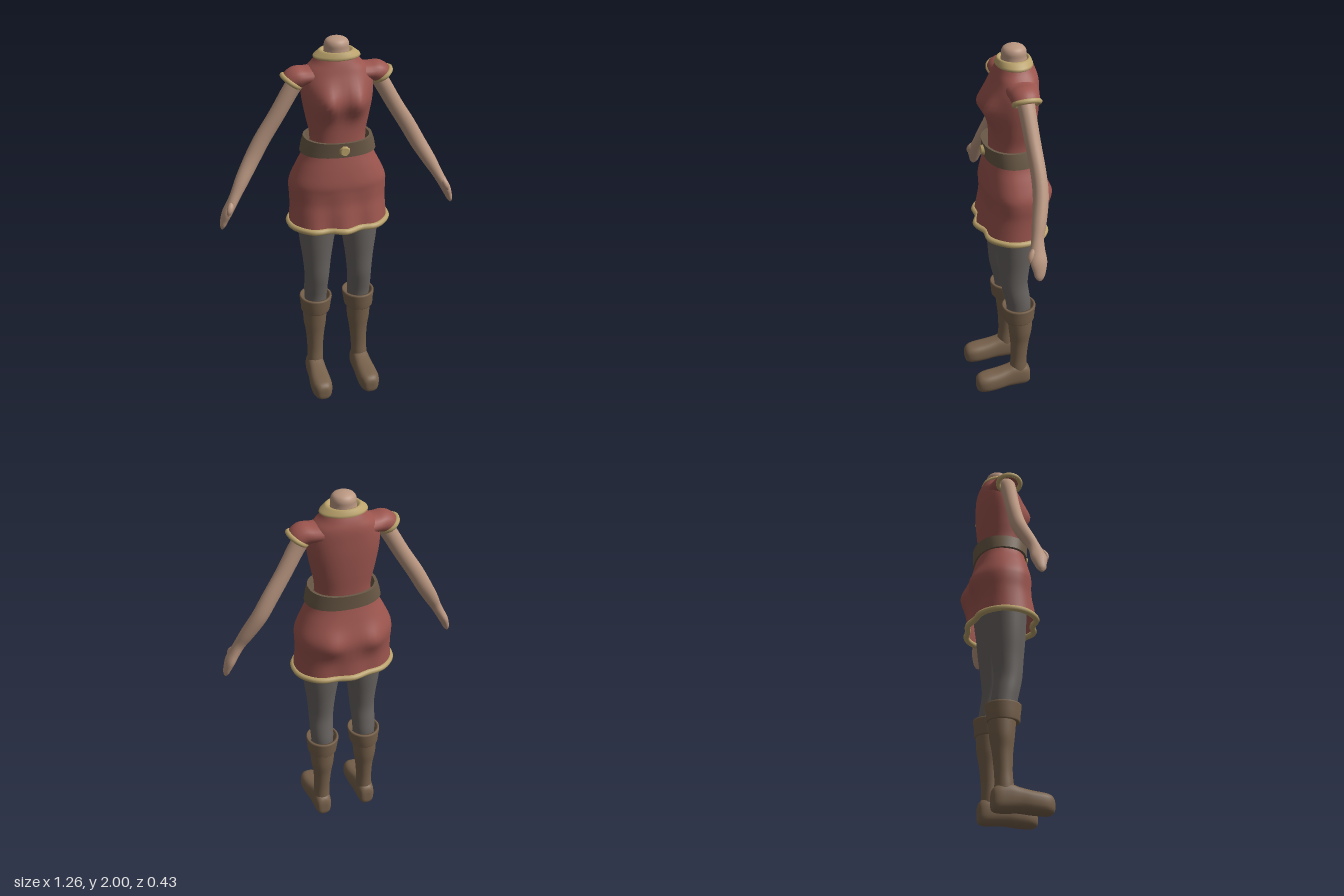
import * as THREE from 'three';

const V = (x, y, z) => new THREE.Vector3(x, y, z);
const mat = (name, color, side = THREE.FrontSide) => {
  const m = new THREE.MeshStandardMaterial({ color, side });
  m.name = name;
  return m;
};

// Catmull-Rom blend between b and c
function blend(a, b, c, d, t) {
  const cubic = 3 * (b - c) + d - a;
  const square = 2 * a - 5 * b + 4 * c - d;
  return b + 0.5 * t * (c - a + t * (square + t * cubic));
}

// Smoothly interpolate a table of section rows, k steps per gap
function smooth(rows, k = 4) {
  const out = [];
  for (let i = 0; i < rows.length - 1; i++) {
    const a = rows[Math.max(i - 1, 0)], b = rows[i], c = rows[i + 1], d = rows[Math.min(i + 2, rows.length - 1)];
    for (let s = 0; s < k; s++) out.push(b.map((p, j) => blend(a[j], p, c[j], d[j], s / k)));
  }
  out.push(rows[rows.length - 1]);
  return out;
}

// Closed ring around a centre with half axes u and v; e < 1 makes it squarer
function ring(c, u, v, n = 32, e = 1) {
  const pw = (t) => Math.sign(t) * Math.abs(t) ** e;
  return Array.from({ length: n }, (_, j) => {
    const a = (j / n) * Math.PI * 2;
    return c.clone().addScaledVector(u, pw(Math.cos(a))).addScaledVector(v, pw(Math.sin(a)));
  });
}

// Skin a list of rings, optionally closing both ends
function skin(rings, caps = false) {
  const n = rings[0].length, pts = rings.flat(), idx = [];
  for (let i = 0; i < rings.length - 1; i++) {
    for (let j = 0; j < n; j++) {
      const a = i * n + j, b = i * n + ((j + 1) % n);
      idx.push(a, a + n, b, b, a + n, b + n);
    }
  }
  if (caps) {
    const end = (r, base, flip) => {
      const c = pts.length;
      pts.push(r.reduce((s, p) => s.add(p), V(0, 0, 0)).divideScalar(n));
      for (let j = 0; j < n; j++) {
        const a = base + j, b = base + ((j + 1) % n);
        idx.push(c, ...(flip ? [b, a] : [a, b]));
      }
    };
    end(rings[0], 0, false);
    end(rings[rings.length - 1], (rings.length - 1) * n, true);
  }
  const g = new THREE.BufferGeometry().setFromPoints(pts);
  g.setIndex(idx);
  g.computeVertexNormals();
  return g;
}

// Horizontal section: row = [y, half width, front z, back z, centre x]
const level = ([y, rx, zf, zb, cx = 0], n = 32, e = 1) =>
  ring(V(cx, y, (zf + zb) / 2), V(rx, 0, 0), V(0, 0, (zf - zb) / 2), n, e);

// Limb sections: row = [x, y, z, half thickness, half depth along z]
function limb(rows, caps = true) {
  return skin(rows.map((r, i) => {
    const p = rows[Math.max(i - 1, 0)], q = rows[Math.min(i + 1, rows.length - 1)];
    const t = V(q[0] - p[0], q[1] - p[1], 0).normalize();
    return ring(V(r[0], r[1], r[2]), V(t.y * r[3], -t.x * r[3], 0), V(0, 0, r[4]), 20);
  }), caps);
}

const piping = (pts, r) =>
  new THREE.TubeGeometry(new THREE.CatmullRomCurve3(pts, true), 96, r, 8, true);

function mirrored(g) {
  const m = g.clone().scale(-1, 1, 1), ix = m.index.array;
  for (let i = 0; i < ix.length; i += 3) [ix[i], ix[i + 1]] = [ix[i + 1], ix[i]];
  return m;
}

const bump = (d, w) => Math.exp(-(d * d) / (w * w));

export function createModel() {
  const model = new THREE.Group();
  model.name = 'headlessFigure';
  const cloth = mat('red cloth', 0x9c554e, THREE.DoubleSide);
  const gold = mat('gold trim', 0xbaa26b);
  const skinTone = mat('skin', 0xba9781);
  const wool = mat('grey leggings', 0x686360);
  const boot = mat('boot leather', 0x77614b);
  const leather = mat('belt leather', 0x6a5946);

  const add = (name, g, m) => {
    const mesh = new THREE.Mesh(g, m);
    mesh.name = name;
    model.add(mesh);
  };
  const pair = (name, g, m) => {
    add('left' + name, g, m);
    add('right' + name, mirrored(g), m);
  };

  // Bodice with a shaped chest
  const bodice = smooth([
    [1.40, 0.15, 0.09, -0.125], [1.50, 0.143, 0.088, -0.13], [1.60, 0.162, 0.088, -0.14],
    [1.70, 0.18, 0.09, -0.147], [1.78, 0.182, 0.085, -0.148], [1.84, 0.16, 0.07, -0.146],
    [1.88, 0.122, 0.058, -0.135], [1.915, 0.1, 0.045, -0.118],
  ]).map((r) => level(r, 48, 0.88));
  bodice.flat().forEach((p) => {
    if (p.z > 0) p.z += 0.055 * bump(p.y - 1.695, 0.075) * (bump(p.x - 0.075, 0.06) + bump(p.x + 0.075, 0.06));
  });
  add('bodice', skin(bodice), cloth);

  // Skirt with rounded seat and a gently folded hem
  const skirt = smooth([
    [1.025, 0.261, 0.155, -0.183], [1.10, 0.255, 0.143, -0.182], [1.16, 0.253, 0.134, -0.186],
    [1.22, 0.256, 0.134, -0.19], [1.27, 0.25, 0.136, -0.185], [1.34, 0.218, 0.125, -0.168],
    [1.40, 0.187, 0.112, -0.152], [1.45, 0.17, 0.1, -0.14],
  ]).map((r) => level(r, 64, 0.85));
  skirt.flat().forEach((p) => {
    const fold = THREE.MathUtils.clamp((1.25 - p.y) / 0.22, 0, 1) * bump(p.x, 0.22) * Math.cos(p.x * 36);
    const seat = bump(p.y - 1.23, 0.07) * (bump(p.x - 0.11, 0.07) + bump(p.x + 0.11, 0.07));
    p.z += p.z > 0 ? 0.014 * fold : -0.03 * seat - 0.007 * fold;
  });
  add('skirt', skin(skirt), cloth);
  add('skirtHem', piping(skirt[0], 0.016), gold);

  // Belt stands clear of the waist; repeated rows keep its rims crisp
  add('belt', skin([
    [1.42, 0.165, 0.09, -0.13], [1.42, 0.197, 0.12, -0.158], [1.42, 0.197, 0.12, -0.158],
    [1.46, 0.189, 0.123, -0.16], [1.498, 0.177, 0.126, -0.162], [1.498, 0.177, 0.126, -0.162],
    [1.498, 0.162, 0.112, -0.148], [1.498, 0.162, 0.112, -0.148], [1.43, 0.155, 0.085, -0.125],
  ].map((r) => level(r, 48, 0.9))), leather);
  const buckle = new THREE.CylinderGeometry(0.022, 0.029, 0.016, 8);
  buckle.rotateY(Math.PI / 8).rotateX(Math.PI / 2).translate(0, 1.457, 0.129);
  add('buckle', buckle, gold);

  // Neck stump and collar
  add('neck', skin(smooth([
    [1.88, 0.075, 0.035, -0.105], [1.935, 0.063, 0.028, -0.097], [1.965, 0.062, 0.027, -0.096],
    [1.985, 0.052, 0.016, -0.085], [1.996, 0.03, -0.006, -0.064], [2.0, 0.006, -0.03, -0.042],
  ]).map((r) => level(r)), true), skinTone);
  add('collar', skin([
    [1.9, 0.1, 0.04, -0.11], [1.899, 0.114, 0.053, -0.122], [1.905, 0.12, 0.058, -0.126],
    [1.914, 0.116, 0.055, -0.124], [1.932, 0.092, 0.05, -0.116], [1.938, 0.084, 0.044, -0.11],
    [1.935, 0.074, 0.036, -0.103], [1.92, 0.06, 0.026, -0.094],
  ].map((r) => level(r, 40))), gold);

  // Cap sleeves
  pair('Sleeve', limb(smooth([
    [0.1, 1.815, -0.04, 0.05, 0.085], [0.16, 1.815, -0.035, 0.046, 0.078],
    [0.2, 1.812, -0.03, 0.054, 0.072], [0.225, 1.8, -0.03, 0.053, 0.067], [0.237, 1.784, -0.03, 0.048, 0.064],
  ]), false), cloth);
  pair('SleeveTrim', piping(ring(V(0.233, 1.793, -0.03), V(0.04, 0.029, 0), V(0, 0, 0.061)), 0.013), gold);

  // Bare arms tapering into mitten-like hands
  pair('Arm', limb(smooth([
    [0.15, 1.83, -0.032, 0.03, 0.035], [0.19, 1.805, -0.032, 0.042, 0.045], [0.232, 1.75, -0.032, 0.042, 0.041],
    [0.308, 1.62, -0.038, 0.041, 0.038], [0.383, 1.5, -0.043, 0.042, 0.037], [0.44, 1.4, -0.038, 0.041, 0.038],
    [0.5, 1.3, -0.013, 0.036, 0.036], [0.537, 1.235, 0.006, 0.029, 0.031], [0.565, 1.185, 0.014, 0.026, 0.037],
    [0.59, 1.14, 0.016, 0.025, 0.042], [0.607, 1.1, 0.016, 0.02, 0.032], [0.617, 1.07, 0.018, 0.014, 0.023],
    [0.622, 1.052, 0.018, 0.004, 0.008],
  ])), skinTone);
  pair('Thumb', limb(smooth([
    [0.562, 1.205, 0.03, 0.01, 0.012], [0.572, 1.185, 0.043, 0.016, 0.017],
    [0.582, 1.162, 0.053, 0.015, 0.015], [0.591, 1.14, 0.057, 0.004, 0.005],
  ])), skinTone);

  // Leggings
  pair('Legging', skin(smooth([
    [0.46, 0.055, 0.03, -0.095, 0.122], [0.55, 0.061, 0.036, -0.098, 0.122], [0.62, 0.064, 0.05, -0.089, 0.122],
    [0.7, 0.067, 0.066, -0.08, 0.119], [0.8, 0.076, 0.074, -0.09, 0.118], [0.9, 0.09, 0.083, -0.104, 0.117],
    [1.0, 0.103, 0.09, -0.115, 0.114], [1.12, 0.112, 0.095, -0.13, 0.113], [1.28, 0.11, 0.09, -0.13, 0.11],
  ]).map((r) => level(r)), true), wool);

  // Boot shaft, turned-down cuff and foot
  pair('BootShaft', skin(smooth([
    [0.06, 0.045, 0.02, -0.082, 0.132], [0.13, 0.045, 0.018, -0.078, 0.13], [0.2, 0.044, 0.012, -0.079, 0.128],
    [0.3, 0.051, 0.015, -0.09, 0.126], [0.38, 0.063, 0.023, -0.104, 0.126], [0.48, 0.067, 0.032, -0.11, 0.125],
  ]).map((r) => level(r)), true), boot);
  pair('BootCuff', skin([
    [0.458, 0.06, 0.03, -0.1, 0.124], [0.455, 0.074, 0.047, -0.112, 0.124], [0.462, 0.079, 0.052, -0.117, 0.124],
    [0.5, 0.083, 0.055, -0.12, 0.122], [0.54, 0.089, 0.06, -0.125, 0.121], [0.548, 0.088, 0.059, -0.124, 0.121],
    [0.55, 0.083, 0.054, -0.119, 0.121], [0.548, 0.074, 0.045, -0.11, 0.121], [0.5, 0.064, 0.035, -0.1, 0.122],
  ].map((r) => level(r, 36))), boot);
  // Foot row: [z, half width, sole y, top y, centre x]
  pair('BootFoot', skin(smooth([
    [-0.096, 0.018, 0.03, 0.085, 0.132], [-0.088, 0.037, 0.008, 0.115, 0.132], [-0.06, 0.047, 0, 0.136, 0.132],
    [-0.01, 0.05, 0.002, 0.145, 0.132], [0.04, 0.052, 0.006, 0.13, 0.133], [0.1, 0.057, 0.002, 0.117, 0.135],
    [0.16, 0.057, 0, 0.11, 0.136], [0.195, 0.047, 0.002, 0.102, 0.136], [0.213, 0.032, 0.012, 0.085, 0.136],
    [0.218, 0.012, 0.03, 0.065, 0.136],
  ]).map(([z, w, lo, hi, cx]) =>
    ring(V(cx, (lo + hi) / 2, z), V(w, 0, 0), V(0, (lo - hi) / 2, 0), 28, 0.75)), true), boot);

  return model;
}
